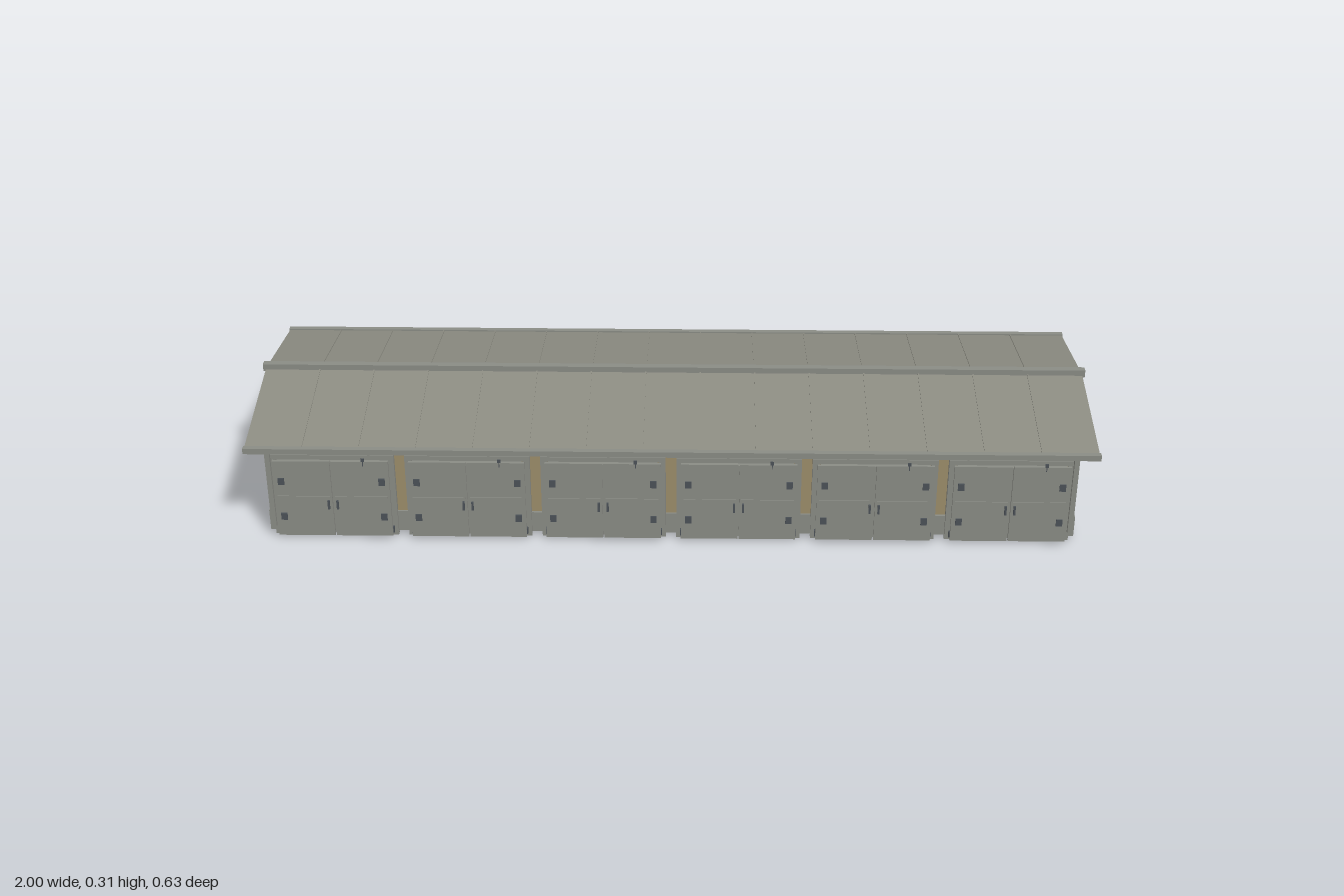
import * as THREE from 'three';

const mat = (name, color) => {
  const m = new THREE.MeshStandardMaterial({ color });
  m.name = name;
  return m;
};

export function createModel() {
  const model = new THREE.Group();
  model.name = 'garageRow';
  const wall = mat('tan wall', 0x9c8d6a);
  const grey = mat('grey metal', 0x8a8c85);
  const roof = mat('roof grey', 0x8c8c82);
  const dark = mat('dark fittings', 0x4c5258);

  // Box given by its limits on each axis
  const box = (parent, name, m, x0, x1, y0, y1, z0, z1) => {
    const mesh = new THREE.Mesh(new THREE.BoxGeometry(x1 - x0, y1 - y0, z1 - z0), m);
    mesh.position.set((x0 + x1) / 2, (y0 + y1) / 2, (z0 + z1) / 2);
    mesh.name = name;
    parent.add(mesh);
    return mesh;
  };

  // Gabled body, extruded along x
  const gable = new THREE.Shape([
    [-0.273, 0.007], [0.273, 0.007], [0.273, 0.243], [0, 0.284], [-0.273, 0.243],
  ].map(([z, y]) => new THREE.Vector2(z, y)));
  const bodyGeo = new THREE.ExtrudeGeometry(gable, { depth: 1.904, bevelEnabled: false });
  bodyGeo.translate(0, 0, -0.952);
  bodyGeo.rotateY(Math.PI / 2);
  const body = new THREE.Mesh(bodyGeo, wall);
  body.name = 'body';
  model.add(body);
  box(model, 'plinth', grey, -0.958, 0.958, 0.008, 0.061, -0.278, 0.278);

  // Roof slopes with standing seams and gutters
  const run = 0.31, drop = 0.052, len = Math.hypot(run, drop);
  for (const s of [1, -1]) {
    const slope = new THREE.Group();
    slope.name = s > 0 ? 'frontRoof' : 'backRoof';
    slope.position.set(0, 0.297 - drop / 2, s * run / 2);
    slope.rotation.x = s * Math.atan2(drop, run);
    box(slope, 'roofSheet', roof, -0.994, 0.994, -0.0015, 0.0015, -len / 2, len / 2);
    for (let i = 1; i < 15; i++) {
      const x = -0.994 + i * 1.988 / 15;
      box(slope, 'roofSeam', roof, x - 0.0015, x + 0.0015, 0, 0.004, -len / 2, len / 2);
    }
    model.add(slope);
    const z = s * 0.31;
    box(model, 'gutter', grey, -0.996, 0.996, 0.237, 0.251, z - 0.007, z + 0.007);

    // Downpipes at the corners
    for (const x of [-0.946, 0.946]) {
      const zp = s * 0.2885;
      box(model, 'downpipe', grey, x - 0.006, x + 0.006, 0.025, 0.245, zp - 0.0055, zp + 0.0055);
    }
  }
  box(model, 'ridgeCap', grey, -1, 1, 0.293, 0.311, -0.009, 0.009);

  // Six double doors
  for (let i = 0; i < 6; i++) {
    const door = new THREE.Group();
    door.name = 'garageDoor';
    door.position.x = (i - 2.5) * 0.319;
    model.add(door);
    box(door, 'lintel', grey, -0.147, 0.147, 0.205, 0.217, 0.273, 0.285);
    box(door, 'doorBack', grey, -0.128, 0.128, 0.012, 0.205, 0.278, 0.297);
    for (const s of [-1, 1]) {
      const part = (name, m, a, b, ...rest) =>
        box(door, name, m, Math.min(s * a, s * b), Math.max(s * a, s * b), ...rest);
      part('framePost', grey, 0.131, 0.147, 0, 0.217, 0.273, 0.285);
      part('doorLeaf', grey, 0.0015, 0.136, 0.008, 0.211, 0.297, 0.304);
      part('leafRail', grey, 0.006, 0.13, 0.113, 0.117, 0.304, 0.306);
      part('handle', dark, 0.008, 0.013, 0.083, 0.106, 0.304, 0.309);
      part('doorStop', dark, 0.128, 0.138, 0.01, 0.025, 0.284, 0.294);
      for (const y of [0.061, 0.157]) {
        part('hinge', dark, 0.111, 0.126, y - 0.009, y + 0.009, 0.304, 0.307);
      }
    }
    box(door, 'doorLatch', dark, 0.073, 0.081, 0.212, 0.221, 0.304, 0.306);
    box(door, 'latchStem', dark, 0.076, 0.078, 0.2, 0.213, 0.3035, 0.305);
  }

  // Vents on the back wall, with slats
  for (const x of [-0.797, -0.16, 0.479]) {
    box(model, 'backVent', dark, x - 0.023, x + 0.023, 0.174, 0.196, -0.28, -0.272);
    for (let k = 0; k < 3; k++) {
      const y = 0.179 + k * 0.006;
      box(model, 'ventSlat', dark, x - 0.019, x + 0.019, y - 0.001, y + 0.002, -0.282, -0.279);
    }
  }
  return model;
}
